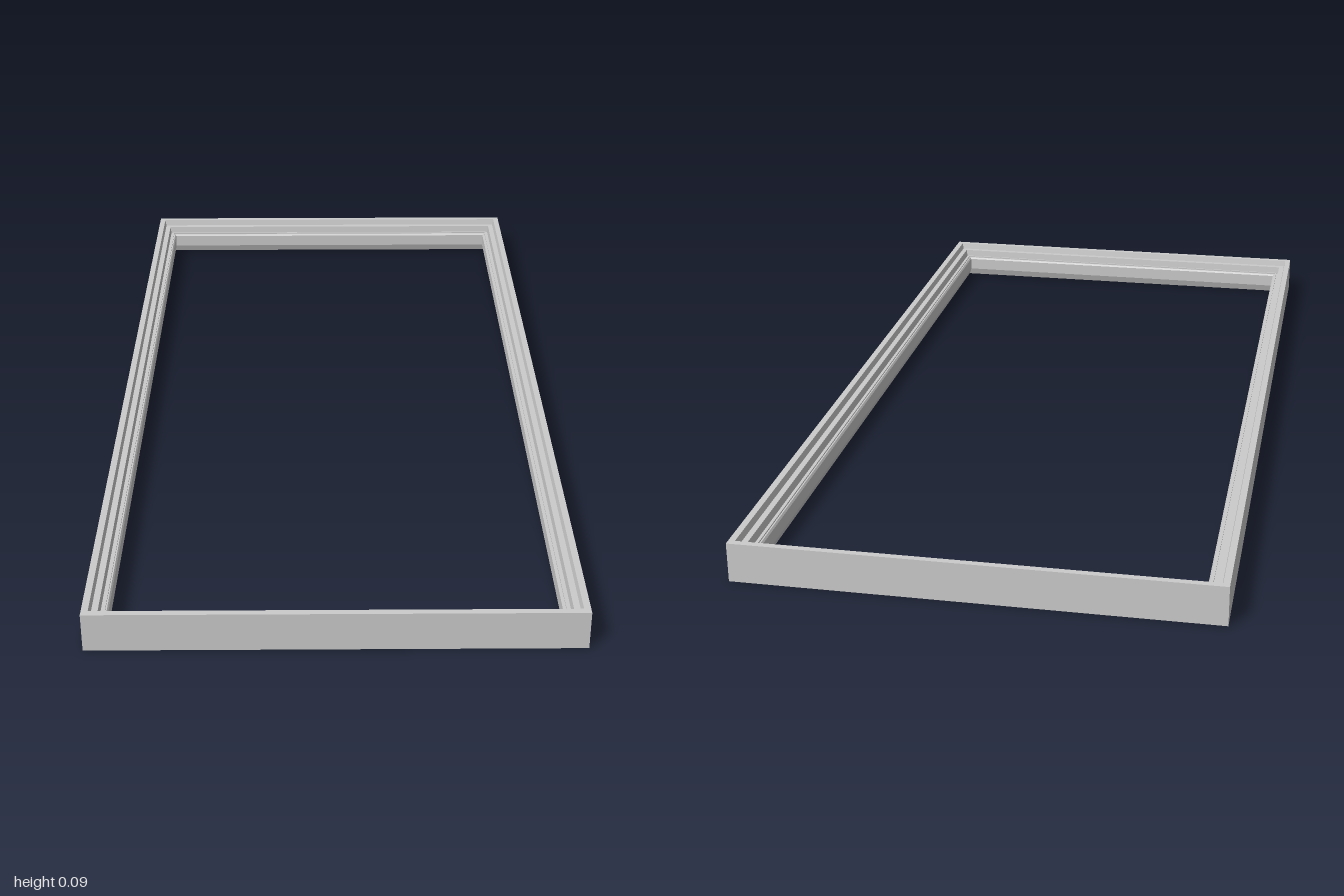
import * as THREE from 'three';

const HALF_X = 0.5, HALF_Z = 1;
const CORNERS = [[-1, 1], [1, 1], [1, -1], [-1, -1]];

// Sweeps a closed profile of [inset, height] points round a mitred rectangle.
function mitredFrame(name, profile, color) {
  const pos = [];
  const point = ([d, y], [sx, sz]) => [sx * (HALF_X - d), y, sz * (HALF_Z - d)];
  profile.forEach((p, j) => {
    const q = profile[(j + 1) % profile.length];
    CORNERS.forEach((c, k) => {
      const n = CORNERS[(k + 1) % 4];
      const a = point(p, c), b = point(p, n), e = point(q, n), f = point(q, c);
      pos.push(...a, ...b, ...e, ...a, ...e, ...f);
    });
  });
  const geo = new THREE.BufferGeometry();
  geo.setAttribute('position', new THREE.Float32BufferAttribute(pos, 3));
  geo.computeVertexNormals();
  const mesh = new THREE.Mesh(geo, new THREE.MeshStandardMaterial({ color, flatShading: true }));
  mesh.name = name;
  return mesh;
}

export function createModel() {
  const group = new THREE.Group();
  group.name = 'rectangularFrame';

  // Moulding: flat outer wall, raised rim, two steps down to the inner lip
  group.add(mitredFrame('moulding', [
    [0, 0], [0, 0.085], [0.014, 0.085], [0.017, 0.07], [0.03, 0.07],
    [0.032, 0.052], [0.044, 0.052], [0.047, 0.048], [0.047, 0.018], [0.04, 0],
  ], 0xcccccc));

  // Thin sealing bead lying on the lower step
  group.add(mitredFrame('sealBead', [
    [0.037, 0.0515], [0.037, 0.055], [0.041, 0.055], [0.041, 0.0515],
  ], 0xcccccc));

  return group;
}
